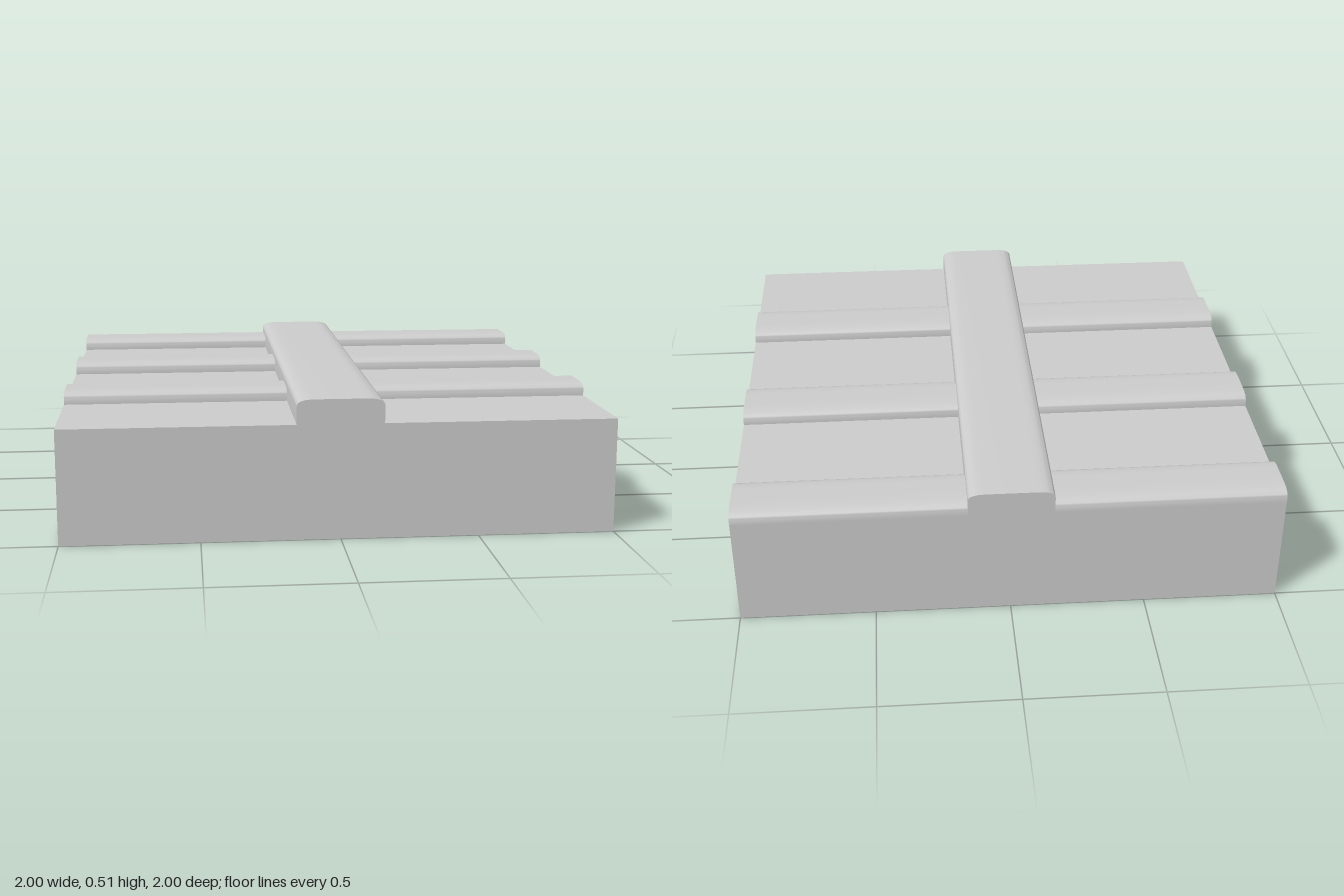
import * as THREE from 'three';
import { toCreasedNormals } from 'three/addons/utils/BufferGeometryUtils.js';

const material = new THREE.MeshStandardMaterial({ color: 0xcccccc });
const DECK = 0.42; // height of the flat top

// Raised strip with softly rounded upper edges, drawn left to right
function addStrip(shape, x0, x1, top, rx, ry) {
  shape.lineTo(x0, DECK);
  shape.lineTo(x0, top - ry);
  shape.quadraticCurveTo(x0, top, x0 + rx, top);
  shape.lineTo(x1 - rx, top);
  shape.quadraticCurveTo(x1, top, x1, top - ry);
  shape.lineTo(x1, DECK);
}

// Extrudes a profile to a length centred on its axis
function extrude(shape, length) {
  const geometry = new THREE.ExtrudeGeometry(shape, { depth: length, bevelEnabled: false, curveSegments: 8 });
  geometry.translate(0, 0, -length / 2);
  return geometry;
}

function addMesh(group, geometry, name) {
  const mesh = new THREE.Mesh(toCreasedNormals(geometry, Math.PI / 5), material);
  mesh.name = name;
  group.add(mesh);
  return mesh;
}

export function createModel() {
  const group = new THREE.Group();
  group.name = 'ribbedPanel';

  // Block with the central beam in one profile
  const body = new THREE.Shape();
  body.moveTo(-1, 0);
  body.lineTo(-1, DECK);
  addStrip(body, -0.158, 0.156, 0.51, 0.065, 0.025);
  body.lineTo(1, DECK);
  body.lineTo(1, 0);
  body.closePath();
  addMesh(group, extrude(body, 2), 'baseWithCentralBeam');

  // Cross slats on both sides of the beam
  const slat = new THREE.Shape();
  slat.moveTo(-0.11, DECK);
  addStrip(slat, -0.11, 0.11, 0.468, 0.07, 0.027);
  slat.closePath();
  const length = 0.844;
  for (const z of [0.444, -0.223, -0.89]) {
    for (const side of [-1, 1]) {
      const geometry = extrude(slat, length).rotateY(Math.PI / 2);
      const mesh = addMesh(group, geometry, side > 0 ? 'leftSlat' : 'rightSlat');
      mesh.position.set(side * (1 - length / 2), 0, z);
    }
  }
  return group;
}
